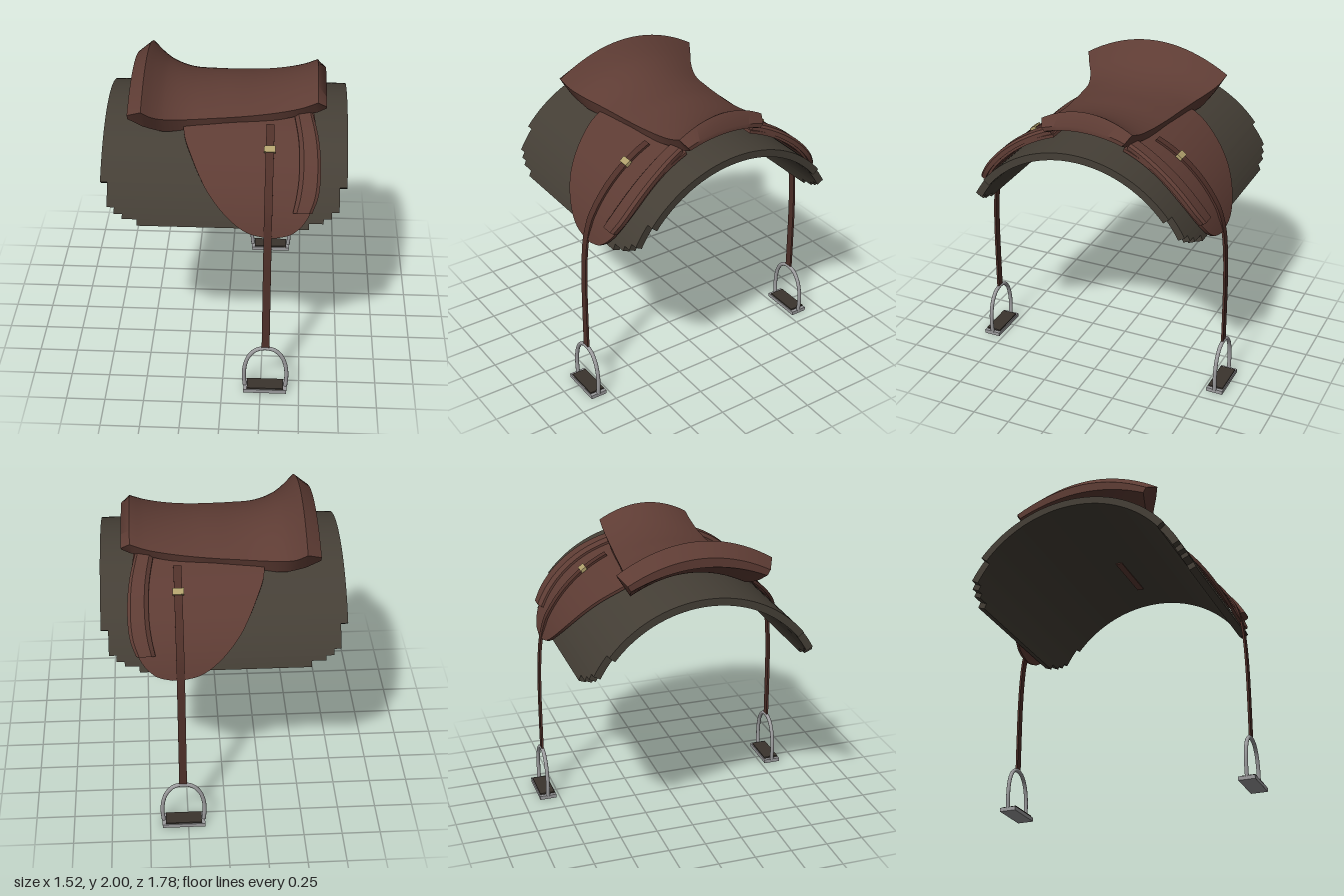
import * as THREE from 'three';
import { toCreasedNormals } from 'three/addons/utils/BufferGeometryUtils.js';

const mat = (name, color, extra = {}) => new THREE.MeshStandardMaterial({ name, color, ...extra });

// Centre height of the arch that the pad, flaps and rolls wrap around
const CY = 0.91;
const rad = THREE.MathUtils.degToRad;

// Skin closed rings of equal length; point i of a ring lies opposite point n-1-i
function loft(rings, crease = 0.6) {
  const n = rings[0].length, pos = rings.flat(2), idx = [];
  const quad = (a, b, c, d) => idx.push(a, b, c, a, c, d);
  for (let r = 0; r < rings.length - 1; r++)
    for (let i = 0; i < n; i++) {
      const j = (i + 1) % n;
      quad(r * n + i, r * n + j, (r + 1) * n + j, (r + 1) * n + i);
    }
  const last = (rings.length - 1) * n;
  for (let i = 0; i < n / 2 - 1; i++) {
    quad(i, n - 1 - i, n - 2 - i, i + 1);
    quad(last + i, last + i + 1, last + n - 2 - i, last + n - 1 - i);
  }
  // Turn the faces outward if the enclosed volume is negative
  const v = (k) => new THREE.Vector3().fromArray(pos, idx[k] * 3);
  let volume = 0;
  for (let k = 0; k < idx.length; k += 3) volume += v(k).dot(v(k + 1).cross(v(k + 2)));
  if (volume < 0) idx.reverse();
  const g = new THREE.BufferGeometry();
  g.setAttribute('position', new THREE.Float32BufferAttribute(pos, 3));
  g.setIndex(idx);
  return toCreasedNormals(g, crease);
}

// Smoothly fill in rows; the first column is the ascending parameter
function resample(rows, k) {
  const size = rows[0].length - 1;
  const f = new THREE.CubicInterpolant(rows.map((r) => r[0]), rows.flatMap((r) => r.slice(1)), size, new Array(size));
  const out = [];
  for (let i = 0; i < rows.length - 1; i++)
    for (let j = 0; j < k; j++) {
      const t = rows[i][0] + ((rows[i + 1][0] - rows[i][0]) * j) / k;
      out.push([t, ...f.evaluate(t)]);
    }
  out.push(rows[rows.length - 1]);
  return out;
}

// Bend rows [angle, x0, x1] round the arch with a section of [u, radius] points
const wrap = (rows, section, side = 1) => loft(rows.map(([a, x0, x1]) =>
  section.map(([u, r]) => [x0 + (x1 - x0) * u, CY + r * Math.cos(a), side * r * Math.sin(a)])));
const slab = (r0, r1) => [[0, r0], [0, r1], [1, r1], [1, r0]];
const angleAt = (y, r) => Math.acos((y - CY) / r);

export function createModel() {
  const leather = mat('brown leather', 0x5e3c34);
  const strapLeather = mat('dark strap leather', 0x4f3029);
  const felt = mat('dark felt', 0x453f36);
  const steel = mat('steel', 0x9c9c9e);
  const brass = mat('brass', 0xb0a06c);
  const rubber = mat('tread rubber', 0x3a342e);

  const model = new THREE.Group();
  model.name = 'saddle';
  const add = (parent, name, geometry, material) => {
    const m = new THREE.Mesh(geometry, material);
    m.name = name;
    parent.add(m);
    return m;
  };

  // Pad with stepped corners
  const half = [];
  const steps = [[0, 51, 0.76], [51, 62, 0.715], [62, 64.8, 0.67], [64.8, 67, 0.62], [67, 69.8, 0.53]];
  for (const [a, b, w] of steps) {
    const n = Math.ceil((b - a) / 3);
    for (let i = 0; i <= n; i++) half.push([rad(a + ((b - a) * i) / n), -w, w]);
  }
  const padRows = [...half.slice(1).reverse().map(([a, x0, x1]) => [-a, x0, x1]), ...half];
  add(model, 'saddlePad', wrap(padRows, slab(0.762, 0.81)), felt);

  // Small keel of the tree under the pad
  add(model, 'treeKeel', new THREE.BoxGeometry(0.42, 0.03, 0.045), leather).position.set(0.28, 1.68, 0);

  // Seat: x, top centre y, half width, edge top y, edge bottom y, bottom half width
  const body = resample([
    [-0.51, 2.0, 0.505, 1.84, 1.70, 0.42],
    [-0.45, 1.94, 0.472, 1.79, 1.67, 0.40],
    [-0.38, 1.885, 0.43, 1.755, 1.645, 0.38],
    [-0.25, 1.832, 0.378, 1.73, 1.645, 0.35],
    [-0.1, 1.807, 0.355, 1.73, 1.66, 0.335],
    [0.05, 1.805, 0.34, 1.735, 1.68, 0.32],
    [0.2, 1.807, 0.325, 1.745, 1.69, 0.31],
    [0.35, 1.83, 0.315, 1.765, 1.705, 0.295],
    [0.48, 1.873, 0.31, 1.795, 1.73, 0.28],
    [0.57, 1.92, 0.305, 1.83, 1.74, 0.26],
  ], 4);
  const stations = [[-0.6, 1.92, 0.46, 1.795, 1.76, 0.44], ...body, [0.625, 1.84, 0.28, 1.79, 1.77, 0.26]];
  const N = 20;
  add(model, 'seat', loft(stations.map(([x, top, hw, edge, low, lowHw]) => {
    const ring = [];
    for (let i = 0; i <= N; i++) {
      const t = (i / N) * 2 - 1;
      ring.push([x, top - (top - edge) * t * t, hw * t]);
    }
    for (let i = N; i >= 0; i--) {
      const t = (i / N) * 2 - 1;
      ring.push([x, low + (top - edge) * 0.8 * (1 - t * t), lowHw * t]);
    }
    return ring;
  }), 0.7), leather);

  // Flap outline and knee roll outline: y, rear x, front x
  const flapRows = resample([
    [1.72, -0.27, 0.55], [1.64, -0.25, 0.57], [1.56, -0.2, 0.582], [1.48, -0.15, 0.585],
    [1.4, -0.095, 0.572], [1.32, -0.025, 0.545], [1.25, 0.05, 0.505], [1.2, 0.12, 0.455],
    [1.17, 0.19, 0.40], [1.155, 0.27, 0.33],
  ].map(([y, a, b]) => [angleAt(y, 0.845), a, b]), 4);
  const rollRows = resample([
    [1.75, 0.425, 0.54], [1.65, 0.458, 0.583], [1.5, 0.462, 0.594], [1.4, 0.448, 0.58], [1.32, 0.43, 0.547],
  ].map(([y, a, b]) => [angleAt(y, 0.882), a, b]), 5);

  for (const s of [1, -1]) {
    const part = new THREE.Group();
    part.name = s > 0 ? 'frontSide' : 'backSide';
    model.add(part);

    add(part, 'flap', wrap(flapRows, slab(0.825, 0.845), s), leather);
    add(part, 'kneeRoll', wrap(rollRows,
      [[0, 0.84], [0, 0.86], [0.2, 0.882], [0.85, 0.882], [1, 0.868], [1, 0.84]], s), leather);

    // Stirrup strap follows the flap, then hangs straight down
    const path = [];
    for (let a = 24; a <= 64; a += 4)
      path.push(new THREE.Vector3(0, CY + 0.856 * Math.cos(rad(a)), 0.856 * Math.sin(rad(a))));
    for (const [y, z] of [[1.15, 0.806], [1, 0.822], [0.8, 0.83], [0.55, 0.832], [0.33, 0.832]])
      path.push(new THREE.Vector3(0, y, z));
    const curve = new THREE.CatmullRomCurve3(path);
    const strapRings = [];
    for (let i = 0; i <= 50; i++) {
      const p = curve.getPointAt(i / 50), t = curve.getTangentAt(i / 50);
      const ring = [[-1, -1], [-1, 1], [1, 1], [1, -1]].map(([w, d]) =>
        [0.28 + 0.025 * w, p.y + t.z * 0.007 * d, s * (p.z - t.y * 0.007 * d)]);
      strapRings.push(ring);
    }
    add(part, 'stirrupStrap', loft(strapRings), strapLeather);

    // Buckle
    const buckle = add(part, 'buckle', new THREE.BoxGeometry(0.07, 0.022, 0.042), brass);
    buckle.position.set(0.28, CY + 0.862 * Math.cos(rad(36)), s * 0.862 * Math.sin(rad(36)));
    buckle.rotation.x = s * rad(36);

    // Stirrup iron
    const stirrup = new THREE.Group();
    stirrup.name = 'stirrup';
    stirrup.position.set(0.28, 0, s * 0.832);
    part.add(stirrup);
    const leg = [[0.132, 0.02], [0.138, 0.1], [0.132, 0.18], [0.108, 0.255], [0.062, 0.308]];
    const arch = [...leg.map(([x, y]) => [-x, y]), [0, 0.325], ...leg.reverse()];
    add(stirrup, 'stirrupArch', new THREE.TubeGeometry(
      new THREE.CatmullRomCurve3(arch.map(([x, y]) => new THREE.Vector3(x, y, 0))), 48, 0.013, 12), steel);
    add(stirrup, 'footPlate', new THREE.BoxGeometry(0.28, 0.026, 0.112), steel).position.y = 0.013;
    add(stirrup, 'treadPad', new THREE.BoxGeometry(0.235, 0.01, 0.1), rubber).position.y = 0.031;
  }
  return model;
}
